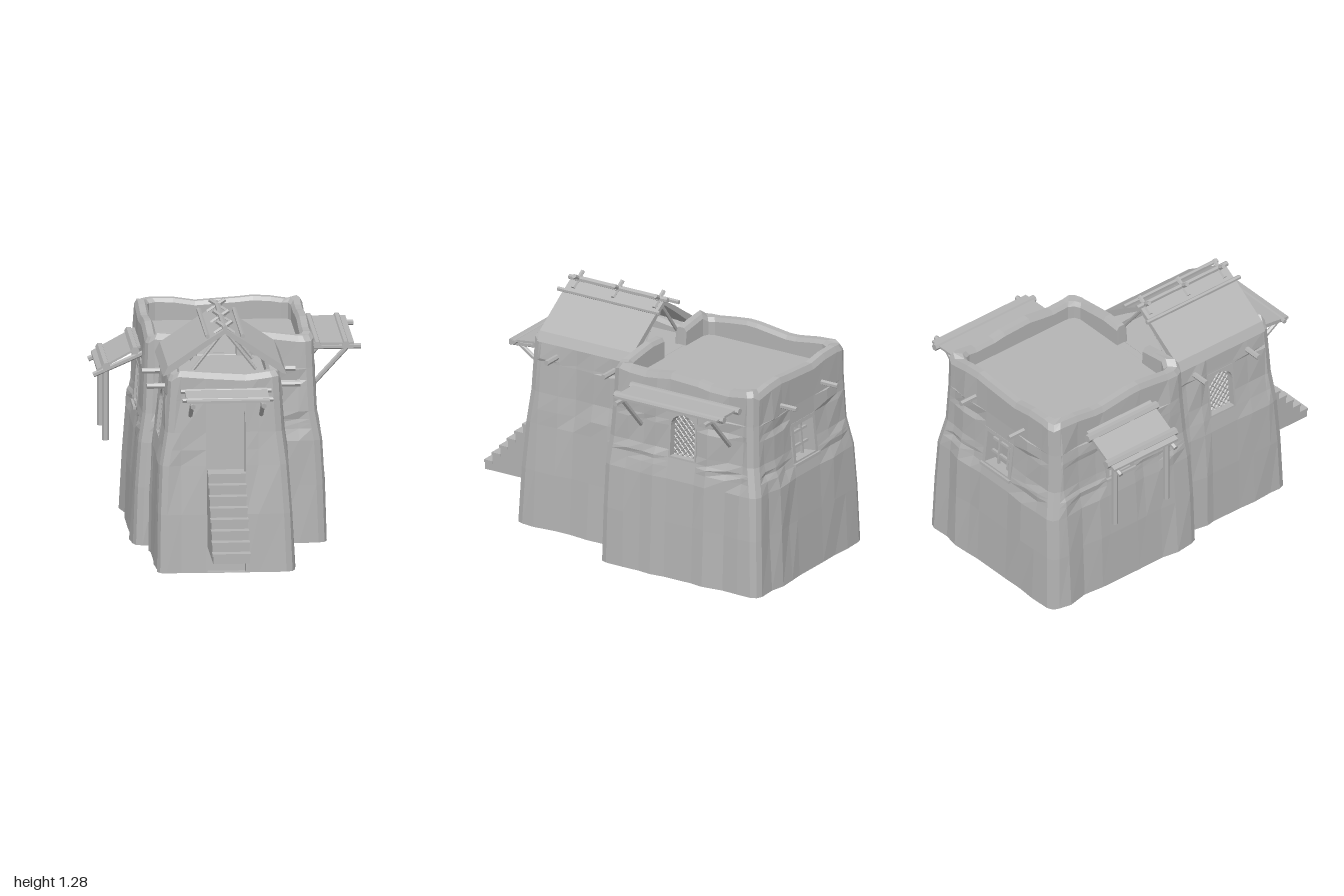
import * as THREE from 'three';

const clay = new THREE.MeshStandardMaterial({ color: 0xb4b4b4, side: THREE.DoubleSide, flatShading: true });
clay.name = 'grey clay';

let seed = 7;
const rand = () => ((seed = (seed * 16807) % 2147483647) / 2147483647) * 2 - 1;

function add(parent, name, geometry) {
  const mesh = new THREE.Mesh(geometry, clay);
  mesh.name = name;
  parent.add(mesh);
  return mesh;
}

function box(parent, name, w, h, d, x, y, z) {
  const m = add(parent, name, new THREE.BoxGeometry(w, h, d));
  m.position.set(x, y, z);
  return m;
}

// Straight wooden pole between two points
function pole(parent, name, a, b, r, sides = 6) {
  const A = new THREE.Vector3(...a), B = new THREE.Vector3(...b);
  const m = add(parent, name, new THREE.CylinderGeometry(r, r, A.distanceTo(B), sides));
  m.position.copy(A).add(B).multiplyScalar(0.5);
  m.quaternion.setFromUnitVectors(new THREE.Vector3(0, 1, 0), B.sub(A).normalize());
}

const polygon = pts => new THREE.Shape(pts.map(p => new THREE.Vector2(...p)));
const extrude = (shape, depth) => new THREE.ExtrudeGeometry(shape, { depth, bevelEnabled: false, curveSegments: 8 });

// Sides: 0 front, 1 left (+x), 2 back, 3 right (-x). Local u runs along the wall, d points outward.
function sideGroup(parent, name, k) {
  const g = new THREE.Group();
  g.name = name;
  g.rotation.y = k * Math.PI / 2;
  parent.add(g);
  return g;
}
const side = ([x0, x1, z0, z1], k) =>
  [[x0, x1, z1], [-z1, -z0, x1], [-x1, -x0, -z0], [z0, z1, -x0]][k];

// Rectangle [x0, x1, z0, z1] of a building at height y
function rectAt(levels, y) {
  let i = 1;
  while (i < levels.length - 1 && levels[i][0] < y) i++;
  const a = levels[i - 1], b = levels[i];
  const t = Math.min(1, Math.max(0, (y - a[0]) / (b[0] - a[0])));
  return [1, 2, 3, 4].map(j => a[j] + (b[j] - a[j]) * t);
}

// Uneven mud walls with openings, a rounded parapet and a flat roof
function walls(parent, name, { levels, topAt, floor, t, openings, extra = [] }) {
  const cols = [];
  for (let k = 0; k < 4; k++) {
    const [lo, hi] = side(rectAt(levels, 0), k);
    const mine = openings.filter(o => o.k === k);
    const us = [];
    for (let u = lo + 0.13; u < hi - 0.1; u += 0.1)
      if (!mine.some(o => u > o.u0 - 0.03 && u < o.u1 + 0.03)) us.push(u + rand() * 0.02);
    mine.forEach(o => us.push(o.u0, o.u1));
    if (k === 0) us.push(...extra);
    us.sort((a, b) => a - b);
    for (const u of [-9, ...us, 9]) {
      const fixed = Math.abs(u) === 9 || mine.some(o => u >= o.u0 && u <= o.u1);
      cols.push({ k, u, n: fixed ? 0 : rand() * 0.008, j: fixed ? 0 : 0.007 });
    }
    cols.push({ k, corner: true });
  }
  const top = levels.at(-1)[0], c = 0.045;
  const ys = [...levels.map(l => l[0]), ...openings.flatMap(o => [o.y0, o.y1])].filter(y => y < top - 0.06);
  const rowY = [...new Set(ys)].sort((a, b) => a - b);
  const point = (col, rect, inset, y, noise) => {
    const [lo, hi, d] = side(rect, col.k);
    let u = hi - inset - c * 0.3, out = d - inset - c * 0.3;
    if (!col.corner) {
      u = THREE.MathUtils.clamp(col.u, lo + inset + c, hi - inset - c);
      out = d - inset + (noise ? col.n + rand() * col.j : 0);
    }
    const yy = y ?? topAt(col.k, u);
    const th = col.k * Math.PI / 2, s = Math.sin(th), cs = Math.cos(th);
    return [u * cs + out * s, yy, -u * s + out * cs];
  };
  const grid = rowY.map(y => cols.map(col => point(col, rectAt(levels, y), 0, y, true)));
  const topRect = rectAt(levels, top);
  for (const [inset, dy] of [[0, -0.03], [0.014, 0], [t - 0.014, 0], [t, -0.02], [t, null]])
    grid.push(cols.map(col => {
      const p = point(col, topRect, inset, dy === null ? floor : undefined, false);
      return [p[0], p[1] + (dy ?? 0), p[2]];
    }));
  const pos = [];
  for (let j = 0; j < grid.length - 1; j++)
    for (let i = 0; i < cols.length; i++) {
      const i2 = (i + 1) % cols.length, A = cols[i], B = cols[i2];
      const um = (A.u + B.u) / 2, ym = (rowY[j] + rowY[j + 1]) / 2;
      if (!A.corner && !B.corner && openings.some(o => o.k === A.k && um > o.u0 && um < o.u1 && ym > o.y0 && ym < o.y1)) continue;
      const a = grid[j][i], b = grid[j][i2], d = grid[j + 1][i], e = grid[j + 1][i2];
      pos.push(...a, ...b, ...e, ...a, ...e, ...d);
    }
  const geo = new THREE.BufferGeometry();
  geo.setAttribute('position', new THREE.Float32BufferAttribute(pos, 3));
  geo.computeVertexNormals();
  add(parent, name + 'Walls', geo);
  const [x0, x1, z0, z1] = topRect;
  box(parent, name + 'RoofFloor', x1 - x0 - 2 * t + 0.02, 0.012, z1 - z0 - 2 * t + 0.02, (x0 + x1) / 2, floor - 0.006, (z0 + z1) / 2);
  openings.forEach(o => opening(parent, levels, o));
}

// Recessed surround filling a wall opening, with lattice, glazing bars or a door panel
function opening(parent, levels, { k, u0, u1, y0, y1, kind }) {
  const g = sideGroup(parent, kind + 'Opening', k);
  const d0 = side(rectAt(levels, y0), k)[2], d1 = side(rectAt(levels, y1), k)[2];
  const f = new THREE.Group();
  f.position.set((u0 + u1) / 2, y0, d0);
  f.rotation.x = Math.atan2(d1 - d0, y1 - y0);
  g.add(f);
  const w = u1 - u0, h = Math.hypot(y1 - y0, d1 - d0);
  const m = kind === 'barred' ? 0.02 : kind === 'door' ? 0.004 : 0.01, a = w / 2 - m;
  const outer = polygon([[-w / 2, 0], [w / 2, 0], [w / 2, h], [-w / 2, h]]);
  const hole = new THREE.Path();
  const low = kind === 'door' ? 0.002 : m;
  hole.moveTo(-a, low).lineTo(a, low);
  if (kind === 'barred') hole.lineTo(a, h - m).lineTo(-a, h - m);
  else {
    hole.lineTo(a, h - w * 0.5);
    hole.bezierCurveTo(a, h - w * 0.2, a * 0.45, h - w * 0.16, 0, h - m);
    hole.bezierCurveTo(-a * 0.45, h - w * 0.16, -a, h - w * 0.2, -a, h - w * 0.5);
  }
  hole.closePath();
  outer.holes.push(hole);
  add(f, kind + 'Surround', extrude(outer, 0.07)).position.z = -0.068;
  if (kind === 'door') box(f, 'doorPanel', w, h, 0.01, 0, h / 2, -0.06);
  if (kind === 'barred') {
    for (const x of [-w / 6, w / 6]) box(f, 'windowBar', 0.012, h, 0.015, x, h / 2, -0.045);
    for (const y of [h / 3, h * 2 / 3]) box(f, 'windowBar', w, 0.012, 0.015, 0, y, -0.045);
    box(f, 'windowSill', w + 0.01, 0.015, 0.03, 0, 0.004, 0);
  }
  if (kind === 'lattice')
    for (const s of [-1, 1])
      for (let c = -w / 2 + 0.02; c < h + w / 2; c += 0.032) {
        const xa = Math.max(-w / 2, -c), xb = Math.min(w / 2, h - c);
        if (xb - xa > 0.01)
          pole(f, 'latticeBar', [s * xa, xa + c, -0.04], [s * xb, xb + c, -0.04], 0.0045, 4);
      }
}

// Canopy: sheet along a wall from (d0,y0) to (d1,y1), with poles and beams
function awning(parent, k, name, u0, u1, [d0, y0], [d1, y1], beams, beamTip, r) {
  const g = sideGroup(parent, name, k);
  const sheet = extrude(polygon([[d0, y0], [d1, y1], [d1, y1 + 0.012], [d0, y0 + 0.012]]), u1 - u0);
  sheet.rotateY(-Math.PI / 2);
  add(g, 'awningSheet', sheet).position.x = u1;
  const at = t => [d0 + (d1 - d0) * t, y0 + (y1 - y0) * t];
  for (const t of [0.13, 0.8]) {
    const [d, y] = at(t);
    pole(g, 'awningPole', [u0 - 0.02, y + 0.004, d], [u1 + 0.02, y + 0.004, d], r);
  }
  const [bd, by] = at(beamTip);
  for (const u of beams) pole(g, 'awningBeam', [u, y0 - 0.014, d0 - 0.06], [u, by - 0.014, bd], 0.014);
  return g;
}

export function createModel() {
  const model = new THREE.Group();
  model.name = 'adobeHouse';

  // Rear block, with a gap in its parapet towards the porch block
  walls(model, 'rearBlock', {
    levels: [[0, -0.495, 0.49, -0.96, 0.003], [0.3, -0.485, 0.48, -0.95, 0], [0.53, -0.468, 0.467, -0.94, -0.005],
      [0.68, -0.445, 0.44, -0.91, -0.015], [0.9, -0.435, 0.43, -0.9, -0.03], [1.08, -0.43, 0.425, -0.9, -0.035]],
    topAt: (k, u) => (k === 0 && u > -0.17 && u < 0.03 ? 0.975 : 1.078 + 0.013 * Math.sin(u * 13 + k * 2)),
    floor: 0.975, t: 0.062, extra: [-0.171, -0.169, 0.029, 0.031],
    openings: [{ k: 1, u0: 0.392, u1: 0.558, y0: 0.64, y1: 0.895, kind: 'lattice' },
      { k: 2, u0: -0.1, u1: 0.12, y0: 0.59, y1: 0.81, kind: 'barred' },
      { k: 3, u0: -0.57, u1: -0.39, y0: 0.62, y1: 0.84, kind: 'barred' }],
  });

  // Front block
  walls(model, 'frontBlock', {
    levels: [[0, -0.42, 0.28, -0.1, 0.648], [0.3, -0.415, 0.268, -0.1, 0.635], [0.55, -0.405, 0.25, -0.1, 0.618],
      [0.72, -0.378, 0.228, -0.1, 0.602], [0.9, -0.365, 0.217, -0.1, 0.595], [1.03, -0.36, 0.212, -0.1, 0.59]],
    topAt: (k, u) => (k === 2 ? 0.972 : 1.024 + 0.013 * Math.cos((u + 0.3) * 11)),
    floor: 0.972, t: 0.065,
    openings: [{ k: 0, u0: -0.172, u1: 0.032, y0: 0, y1: 0.9, kind: 'door' },
      { k: 3, u0: 0.165, u1: 0.335, y0: 0.63, y1: 0.885, kind: 'lattice' }],
  });

  // Stairs with slightly projecting treads
  const stairs = new THREE.Group();
  stairs.name = 'stairs';
  model.add(stairs);
  for (let i = 0; i < 8; i++) {
    const top = 0.175 + i * 0.049, z = 0.995 - i * 0.046;
    box(stairs, 'step', 0.186, top - 0.125, 0.05, -0.07, (top + 0.125) / 2, z - 0.025);
    box(stairs, 'tread', 0.194, 0.014, 0.052, -0.07, top - 0.005, z - 0.021);
  }
  box(stairs, 'landing', 0.186, 0.393, 0.09, -0.07, 0.3215, 0.6);

  // Gabled canopy over the front block
  const ridge = -0.07;
  const gable = new THREE.Group();
  gable.name = 'gableRoof';
  model.add(gable);
  for (const s of [-1, 1]) {
    const at = (x, y) => [ridge + s * x, y];
    const sheet = polygon([at(0, 1.24), at(0.1, 1.178), at(0.2, 1.11), at(0.29, 1.05), at(0.315, 1.0),
      at(0.29, 1.008), at(0.2, 1.07), at(0.1, 1.145), at(0, 1.215)]);
    add(gable, 'roofSheet', extrude(sheet, 0.565)).position.z = -0.03;
    pole(gable, 'purlin', [...at(0.09, 1.207), -0.06], [...at(0.09, 1.207), 0.555], 0.012);
    for (const z of [0.49, 0.25, 0.0]) {
      pole(gable, 'rafter', [...at(-0.02, 1.25), z], [...at(0.16, 1.02), z], 0.009);
      pole(gable, 'ridgeCrossing', [...at(-0.04, 1.272), z], [...at(0.05, 1.21), z], 0.012);
    }
  }
  pole(gable, 'ridgePole', [ridge, 1.245, -0.05], [ridge, 1.245, 0.545], 0.014);

  // Awning above the door
  const door = awning(model, 0, 'doorAwning', -0.28, 0.14, [0.58, 0.935], [0.775, 0.91], [-0.25, 0.11], 1.05, 0.012);
  for (const u of [-0.25, 0.11]) pole(door, 'brace', [u, 0.9, 0.73], [u, 0.8, 0.58], 0.012);

  // Level awning on the left wall
  const left = awning(model, 1, 'leftAwning', 0.19, 0.81, [0.425, 0.982], [0.64, 0.982], [0.22, 0.755], 1.17, 0.019);
  for (const u of [0.22, 0.755]) pole(left, 'brace', [u, 0.965, 0.605], [u, 0.78, 0.435], 0.013);

  // Sloping awning with hanging posts on the right wall
  const right = awning(model, 3, 'rightAwning', -0.69, -0.27, [0.44, 0.965], [0.66, 0.845], [-0.66, -0.3], 1.08, 0.022);
  for (const u of [-0.65, -0.31]) pole(right, 'post', [u, 0.87, 0.615], [u, 0.48, 0.615], 0.017);

  // Projecting roof beams
  for (const z of [0.085, 0.43]) pole(model, 'roofBeam', [-0.46, 0.927, z], [0.32, 0.927, z], 0.015);
  for (const x of [-0.195, 0.185]) pole(model, 'rearBeam', [x, 0.945, -0.85], [x, 0.945, -1.0], 0.014);

  return model;
}
